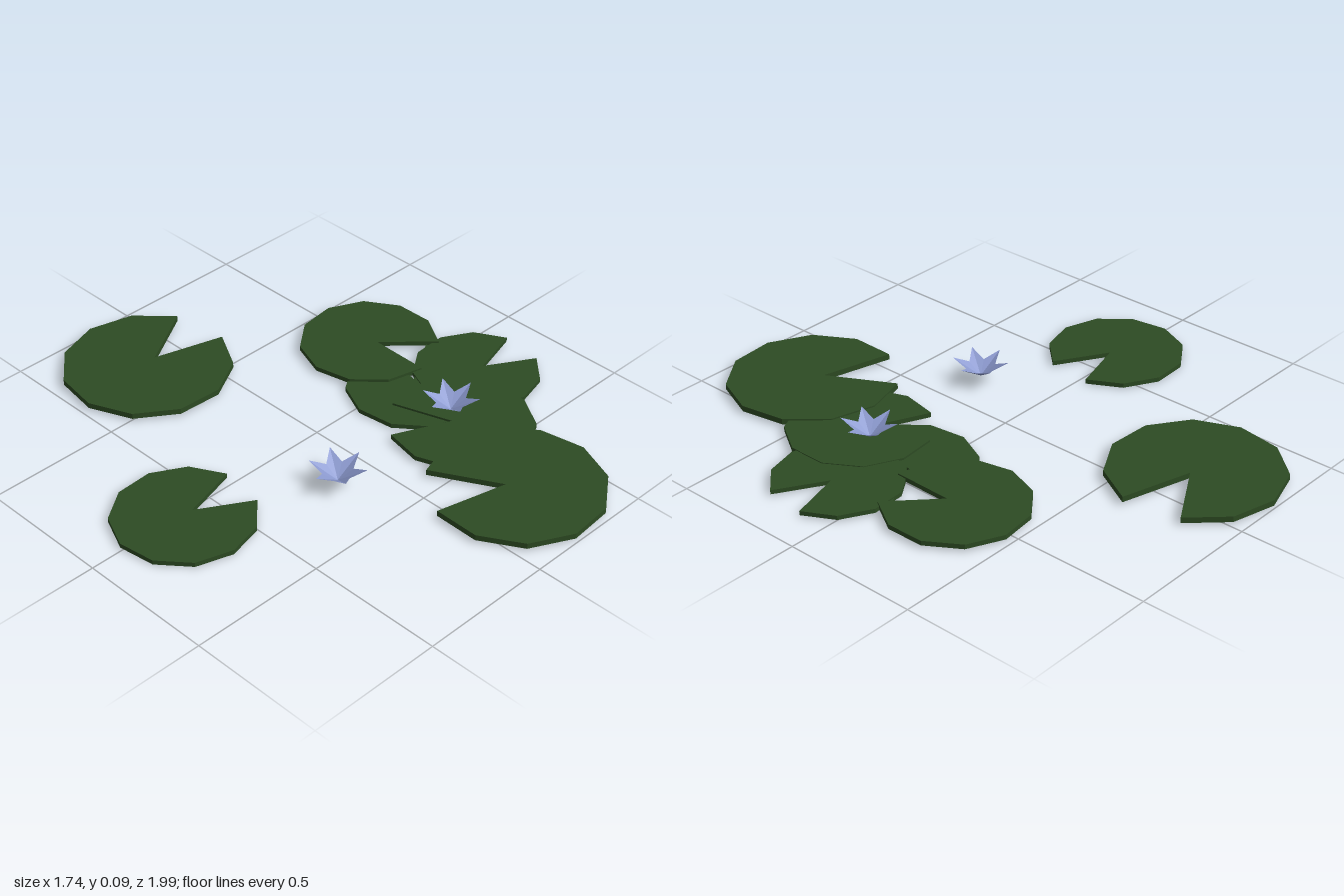
import * as THREE from 'three';

const padGreen = new THREE.MeshStandardMaterial({ color: 0x2d4b23, flatShading: true });
padGreen.name = 'padGreen';
const petalBlue = new THREE.MeshStandardMaterial({ color: 0x8c9ad0, flatShading: true, side: THREE.DoubleSide });
petalBlue.name = 'petalBlue';

const rad = THREE.MathUtils.degToRad;

// Unit lily pad: eleven rim corners with a wedge notch pointing along +x
function padGeometry() {
  const shape = new THREE.Shape();
  shape.moveTo(0.13, 0);
  for (let i = 0; i <= 10; i++) {
    const a = rad(20.5 + i * 31.9);
    shape.lineTo(Math.cos(a), Math.sin(a));
  }
  shape.closePath();
  const geo = new THREE.ExtrudeGeometry(shape, { depth: 0.068, bevelEnabled: false });
  return geo.rotateX(-Math.PI / 2);
}

// Six pointed petals, each folded along its midline into a shallow trough
function flowerGeometry() {
  const pos = [];
  const point = (deg, r, y) => [r * Math.cos(rad(deg)), y, r * Math.sin(rad(deg))];
  for (let i = 0; i < 6; i++) {
    const a = i * 60;
    const base = [0, 0, 0];
    const tip = point(a, 0.101, 0.062);
    const left = point(a - 30, 0.054, 0.037);
    const right = point(a + 30, 0.054, 0.037);
    pos.push(...base, ...tip, ...left, ...base, ...right, ...tip);
  }
  const geo = new THREE.BufferGeometry();
  geo.setAttribute('position', new THREE.Float32BufferAttribute(pos, 3));
  geo.computeVertexNormals();
  return geo;
}

export function createModel() {
  const model = new THREE.Group();
  model.name = 'lilyPond';

  // Pads: x, base height, z, radius, notch direction in degrees (from +x towards +z)
  const pads = [
    ['backPad', -0.169, 0.009, -0.69, 0.307, -7.4],
    ['rightPad', -0.63, 0.002, 0.021, 0.247, 7.6],
    ['frontPad', 0.249, 0.009, 0.69, 0.307, 217.6],
    ['leftBackPad', 0.497, 0.01, -0.233, 0.253, 67.5],
    ['leftPad', 0.646, 0.006, 0.156, 0.229, 7.6],
    ['innerPad', 0.429, 0, 0.063, 0.249, -55],
    ['middlePad', 0.376, 0.007, 0.328, 0.257, 228],
  ];
  const padGeo = padGeometry();
  for (const [name, x, y, z, r, notch] of pads) {
    const pad = new THREE.Mesh(padGeo, padGreen);
    pad.name = name;
    pad.position.set(x, y, z);
    pad.scale.setScalar(r);
    pad.rotation.y = -rad(notch);
    model.add(pad);
  }

  // Flowers
  const flowerGeo = flowerGeometry();
  for (const [name, x] of [['rightFlower', -0.156], ['leftFlower', 0.4]]) {
    const flower = new THREE.Mesh(flowerGeo, petalBlue);
    flower.name = name;
    flower.position.set(x, 0.025, 0.255);
    model.add(flower);
  }
  return model;
}
